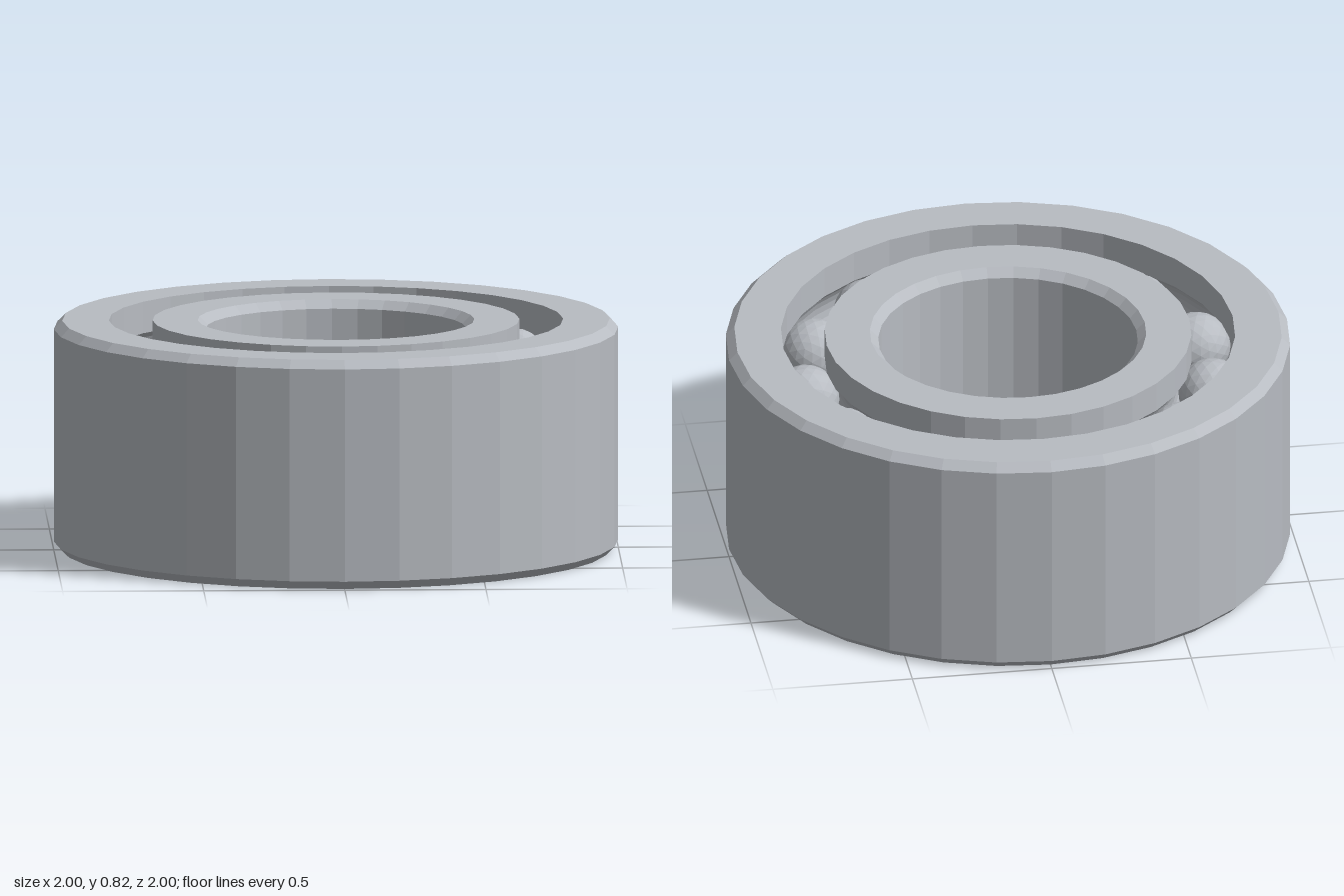
import * as THREE from 'three';

const HEIGHT = 0.82;
const PITCH = 0.725;               // radius of the ball circle
const BALL = 0.12;
const GROOVE = 0.122;
const ROWS = [HEIGHT * 0.25, HEIGHT * 0.75];
const BALLS_PER_ROW = 13;
const SIDES = 32;
const BEVEL = 0.03;

// Raceway wall at radius r, listed bottom to top, with one round groove per row
function racewayWall(r) {
  const side = Math.sign(r - PITCH);
  const half = Math.acos(Math.abs(r - PITCH) / GROOVE);
  const pts = [[r, 0]];
  for (const y of ROWS) {
    for (let i = 0; i <= 8; i++) {
      const a = half * (i / 4 - 1);
      pts.push([PITCH + side * GROOVE * Math.cos(a), y + GROOVE * Math.sin(a)]);
    }
  }
  pts.push([r, HEIGHT]);
  return pts;
}

// Faceted ring turned from a closed counter-clockwise profile
function ring(name, profile, material) {
  const pts = [...profile, profile[0]].map(([x, y]) => new THREE.Vector2(x, y));
  const geometry = new THREE.LatheGeometry(pts, SIDES).toNonIndexed();
  geometry.computeVertexNormals();
  const mesh = new THREE.Mesh(geometry, material);
  mesh.name = name;
  return mesh;
}

export function createModel() {
  const steel = new THREE.MeshStandardMaterial({ color: 0xb8bcc2 });
  steel.name = 'steel';
  const model = new THREE.Group();
  model.name = 'ballBearing';

  // Outer ring: bevelled outside, grooved inside
  model.add(ring('outerRing', [
    [1 - BEVEL, 0], [1, BEVEL], [1, HEIGHT - BEVEL], [1 - BEVEL, HEIGHT],
    ...racewayWall(0.805).reverse(),
  ], steel));

  // Inner ring: grooved outside, bevelled bore
  const bore = 0.46;
  model.add(ring('innerRing', [
    ...racewayWall(0.65),
    [bore + BEVEL, HEIGHT], [bore, HEIGHT - BEVEL], [bore, BEVEL], [bore + BEVEL, 0],
  ], steel));

  // Two aligned rows of faceted balls
  const ballGeometry = new THREE.IcosahedronGeometry(BALL, 3);
  ballGeometry.computeVertexNormals();
  ROWS.forEach((y, row) => {
    const group = new THREE.Group();
    group.name = row ? 'upperBallRow' : 'lowerBallRow';
    for (let i = 0; i < BALLS_PER_ROW; i++) {
      const a = (i / BALLS_PER_ROW) * Math.PI * 2;
      const ball = new THREE.Mesh(ballGeometry, steel);
      ball.name = 'ball';
      ball.position.set(PITCH * Math.cos(a), y, PITCH * Math.sin(a));
      ball.rotation.y = -a;
      group.add(ball);
    }
    model.add(group);
  });

  return model;
}
